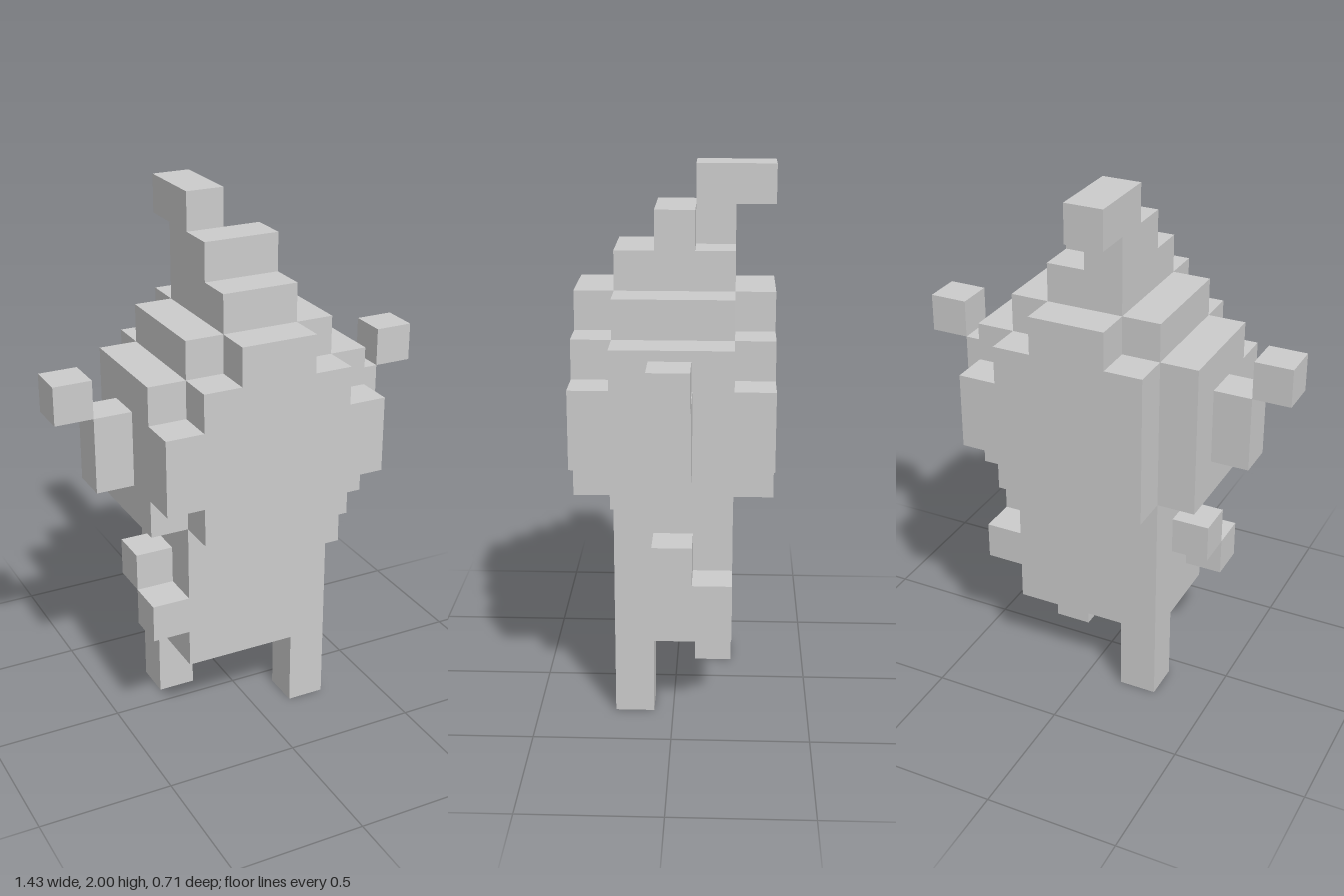
import * as THREE from 'three';

const U = 1 / 7; // edge of one block
const material = new THREE.MeshStandardMaterial({ color: 0xcccccc, flatShading: true });

function add(group, name, geometry) {
  geometry.scale(U, U, U);
  const mesh = new THREE.Mesh(geometry, material);
  mesh.name = name;
  group.add(mesh);
}

// Box given by its ranges, in blocks
function box(group, name, [x0, x1], [y0, y1], [z0, z1]) {
  const g = new THREE.BoxGeometry(x1 - x0, y1 - y0, z1 - z0);
  g.translate((x0 + x1) / 2, (y0 + y1) / 2, (z0 + z1) / 2);
  add(group, name, g);
}

// Stepped outline (counter-clockwise x, y corners) extruded from z0 to z1
function slab(group, name, outline, z0, z1) {
  const shape = new THREE.Shape(outline.map(([x, y]) => new THREE.Vector2(x, y)));
  const g = new THREE.ExtrudeGeometry(shape, { depth: z1 - z0, bevelEnabled: false });
  g.translate(0, 0, z0);
  add(group, name, g);
}

export function createModel() {
  const model = new THREE.Group();
  model.name = 'blockFigure';

  // Torso
  box(model, 'torso', [-2, 2], [2, 6], [-1.5, 1.5]);

  // Two diagonal legs and the side blocks, repeated by a half turn
  for (const s of [1, -1]) {
    const side = s > 0 ? 'left' : 'right';
    const span = (a, b) => (s > 0 ? [a, b] : [-b, -a]);
    box(model, side + 'Leg', span(1, 2), [0, 2], span(0.5, 1.5));
    box(model, side + 'LowerHand', span(2, 3), [4, 5], [-0.5, 0.5]);
    box(model, side + 'LowerFinger', span(2, 3), [3, 4], span(-1.5, -0.5));
    box(model, side + 'Ear', span(3, 4), [7, 9], [-0.5, 0.5]);
    box(model, side + 'EarTip', span(4, 5), [9, 10], [-0.5, 0.5]);
  }

  // Head: stepped face, core and back; the back lacks its right cheek
  const leftEdge = [[2, 6], [2, 7], [3, 7], [3, 9], [2, 9], [2, 10], [1, 10], [1, 11]];
  const rightEdge = leftEdge.map(([x, y]) => [-x, y]).reverse();
  slab(model, 'headFront', [...leftEdge, ...rightEdge], 1.5, 2.5);
  slab(model, 'headCore',
    [[3, 6], [3, 10], [2, 10], [2, 11], [-2, 11], [-2, 10], [-3, 10], [-3, 6]], -1.5, 1.5);
  slab(model, 'headBack',
    [...leftEdge, [-1, 11], [-1, 10], [-2, 10], [-2, 6]], -2.5, -1.5);

  // Crest tapering up and curling backwards
  box(model, 'crestBase', [-1, 1], [11, 12], [-1.5, 1.5]);
  box(model, 'crestMiddle', [-1, 1], [12, 13], [-0.5, 0.5]);
  box(model, 'crestStem', [-1, 0], [12, 13], [-1.5, -0.5]);
  box(model, 'crestTip', [-1, 0], [13, 14], [-2.5, -0.5]);

  return model;
}
